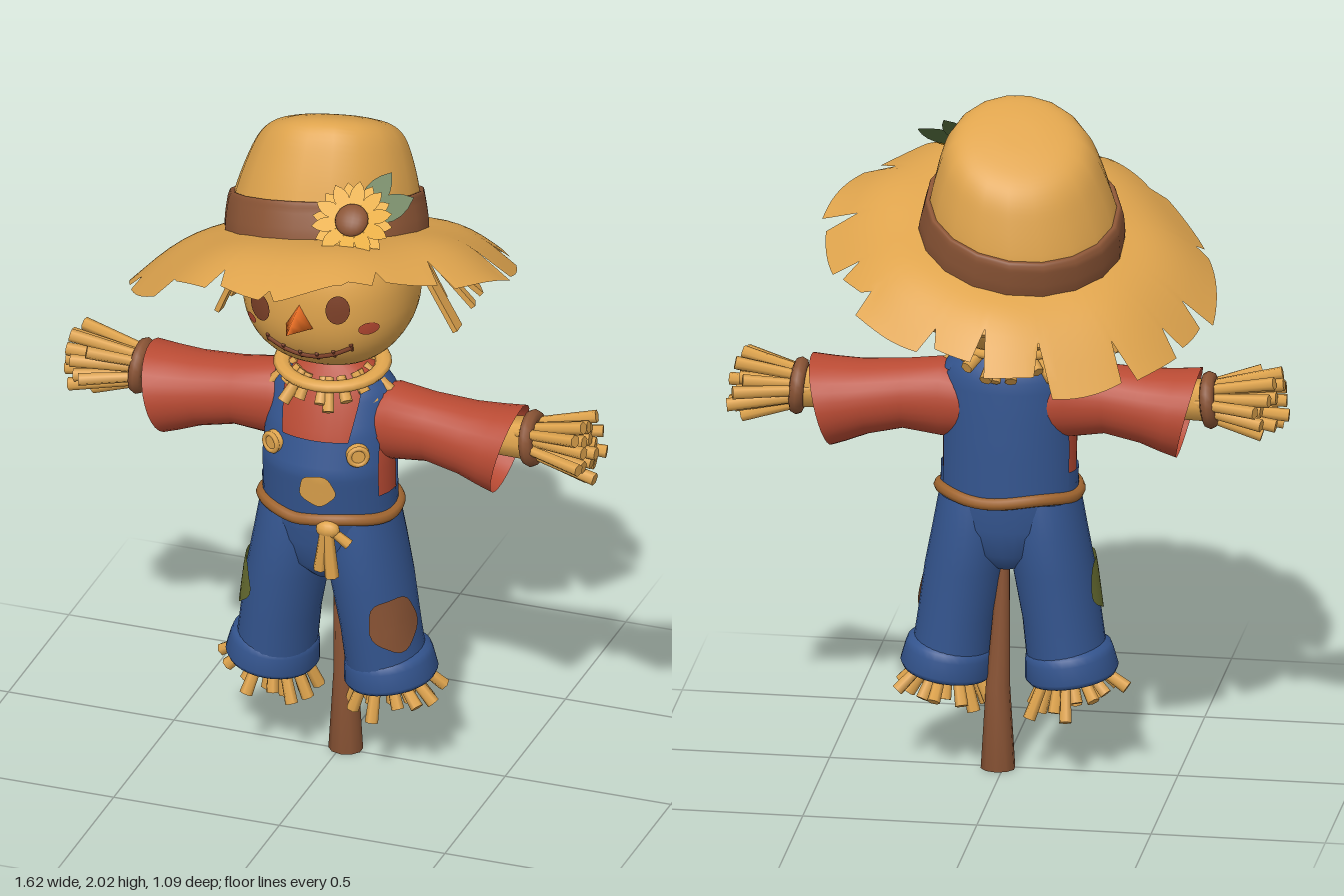
import * as THREE from 'three';
import { mergeGeometries, mergeVertices } from 'three/addons/utils/BufferGeometryUtils.js';

const V = (x, y, z) => new THREE.Vector3(x, y, z);
const { sin, cos, sqrt, abs, sign, PI } = Math;
const TAU = PI * 2, lerp = THREE.MathUtils.lerp;
let seed = 7;
const rnd = () => (seed = (seed * 16807) % 2147483647) / 2147483647;
const jit = (a) => (rnd() * 2 - 1) * a;

function createMaterials() {
  const colors = { straw: 0xdfa44d, shirtRed: 0xb84a33, denim: 0x34558f, brown: 0x8a5435, orange: 0xe36a1e,
    gold: 0xe0a312, leaf: 0x566f3f, faceBrown: 0x7c4028, rope: 0xa0652f, olive: 0x6a7032 };
  const mats = {};
  for (const [name, color] of Object.entries(colors)) {
    mats[name] = new THREE.MeshStandardMaterial({ color, side: THREE.DoubleSide });
    mats[name].name = name;
  }
  return mats;
}

// Smooth surface from a rule (u, v) -> point
function grid(fn, nu, nv) {
  const pos = [], idx = [], w = nu + 1;
  for (let j = 0; j <= nv; j++) for (let i = 0; i <= nu; i++) pos.push(...fn(i / nu, j / nv).toArray());
  for (let j = 0; j < nv; j++) for (let i = 0; i < nu; i++) {
    const a = j * w + i;
    idx.push(a, a + 1, a + w, a + 1, a + w + 1, a + w);
  }
  let g = new THREE.BufferGeometry();
  g.setAttribute('position', new THREE.Float32BufferAttribute(pos, 3));
  g.setIndex(idx);
  g = mergeVertices(g, 1e-5);
  g.computeVertexNormals();
  return g;
}

// Elliptical sections [y, cx, cz, rx, rz], lowest first; angle 0 is the front
const surface = (secs) => (y, a, off = 0) => {
  let k = 0;
  while (k < secs.length - 2 && y > secs[k + 1][0]) k++;
  const A = secs[k], B = secs[k + 1], t = (y - A[0]) / (B[0] - A[0] || 1);
  const [, cx, cz, rx, rz] = A.map((n, i) => lerp(n, B[i], t));
  return V(cx + (rx + off) * sin(a), y, cz + (rz + off) * cos(a));
};
const loft = (secs, n = 32) => grid((u, v) => {
  const [y, cx, cz, rx, rz] = secs[Math.round(v * (secs.length - 1))], a = u * TAU;
  return V(cx + rx * sin(a), y, cz + rz * cos(a));
}, n, secs.length - 1);

// Panel and round patch lying on a surface
const panel = (s, a0, a1, y0, y1, off = 0.007, shift = 0) => grid((u, v) =>
  s(lerp(y0, y1, v), lerp(a0, a1, u) + shift * v, off), 24, 12);
const patch = (s, a, y, ra, ry, off) => grid((u, v) => {
  const t = u * TAU, r = (1 - v) * (1 + 0.05 * cos(5 * t + 1));
  return s(y + ry * r * sin(t), a + ra * r * cos(t), off);
}, 28, 4);

// One tapering straw between two points
function strand(a, b, r = 0.013) {
  const d = b.clone().sub(a), g = new THREE.CylinderGeometry(r * 1.15, r * 0.85, d.length(), 6);
  g.applyQuaternion(new THREE.Quaternion().setFromUnitVectors(V(0, 1, 0), d.normalize()));
  const m = a.clone().add(b).multiplyScalar(0.5);
  return g.translate(m.x, m.y, m.z);
}

export function createModel() {
  seed = 7;
  const M = createMaterials(), model = new THREE.Group();
  const add = (name, geo, mat, parent = model) => {
    const m = new THREE.Mesh(Array.isArray(geo) ? mergeGeometries(geo) : geo, mat);
    m.name = name;
    parent.add(m);
    return m;
  };
  const group = (name, x, y, z) => {
    const g = new THREE.Group();
    g.name = name;
    g.position.set(x, y, z);
    model.add(g);
    return g;
  };

  // Post
  add('post', loft([[0, 0.015, -0.01, 0, 0], [0, 0.015, -0.01, 0.05, 0.044], [0.25, 0.015, -0.01, 0.035, 0.033],
    [0.6, 0, 0, 0.018, 0.02], [0.75, 0, 0, 0.016, 0.016]], 10), M.brown);

  // Torso and overalls
  const torsoSecs = [[0.8, -0.01, 0.045, 0.188, 0.145], [0.83, -0.01, 0.045, 0.19, 0.148], [0.98, -0.01, 0.055, 0.192, 0.158],
    [1.1, -0.01, 0.04, 0.188, 0.14], [1.2, -0.01, 0.02, 0.178, 0.115], [1.25, -0.01, 0.02, 0.145, 0.09],
    [1.29, -0.01, 0.02, 0.07, 0.06]];
  const torso = surface(torsoSecs);
  add('shirt', loft(torsoSecs), M.shirtRed);
  add('overalls', [
    panel(torso, 0, TAU, 0.79, 0.9), panel(torso, -1.08, 1.08, 0.85, 1.08), panel(torso, 2, TAU - 2, 0.85, 1.255),
    panel(torso, 0.5, 0.98, 1.06, 1.25, 0.008, 0.22), panel(torso, -0.98, -0.5, 1.06, 1.25, 0.008, -0.22),
    panel(torso, 0.75, 2.1, 1.2, 1.255), panel(torso, -2.1, -0.75, 1.2, 1.255),
    loft([[0.605, -0.01, 0.04, 0, 0], [0.61, -0.01, 0.04, 0.05, 0.085], [0.66, -0.01, 0.04, 0.15, 0.128], [0.74, -0.01, 0.04, 0.203, 0.147],
      [0.83, -0.01, 0.045, 0.198, 0.155], [0.86, -0.01, 0.047, 0.198, 0.157]]),
  ], M.denim);
  add('bellyPatch', patch(torso, 0.1, 0.935, 0.26, 0.05, 0.014), M.straw);
  for (const s of [-1, 1]) {
    const p = torso(1.045, s * 0.68, 0.014), b = group('overallButton', p.x, p.y, p.z);
    b.rotation.y = s * 0.5;
    add('buttonDisc', new THREE.CylinderGeometry(0.03, 0.034, 0.02, 16).rotateX(PI / 2), M.straw, b);
    add('buttonRim', new THREE.TorusGeometry(0.026, 0.008, 6, 16).translate(0, 0, 0.008), M.straw, b);
  }

  // Rope belt with a knot and loose ends
  const ring = Array.from({ length: 24 }, (_, i) => torso(0.832 + 0.006 * sin(i), i / 24 * TAU, 0.009));
  add('belt', new THREE.TubeGeometry(new THREE.CatmullRomCurve3(ring, true), 64, 0.018, 8, true), M.rope);
  add('beltKnot', [new THREE.SphereGeometry(0.03, 12, 8).scale(1.2, 0.9, 0.8).translate(0.042, 0.815, 0.213),
    strand(V(0.035, 0.815, 0.22), V(0.018, 0.685, 0.215), 0.017), strand(V(0.045, 0.815, 0.22), V(0.058, 0.67, 0.222), 0.018),
    strand(V(0.045, 0.82, 0.215), V(0.105, 0.775, 0.21), 0.014)], M.straw);

  for (const s of [-1, 1]) {
    // Trouser leg, turn-up, patch and straw foot
    const X = (x) => -0.0125 + s * (x + 0.0125);
    const legSecs = [[0.3, X(0.157), 0.03, 0.116, 0.13], [0.45, X(0.138), 0.037, 0.113, 0.135],
      [0.6, X(0.114), 0.04, 0.117, 0.143], [0.72, X(0.095), 0.04, 0.113, 0.145], [0.82, X(0.09), 0.042, 0.1, 0.13]];
    add('trouserLeg', loft(legSecs), M.denim);
    const leg = surface(legSecs), cx = X(0.162);
    add('turnUp', loft([[-0.02, 0, 0, 0, 0], [-0.035, 0, 0, 0.115, 0.122], [-0.045, 0, 0, 0.125, 0.135],
      [-0.03, 0, 0, 0.134, 0.145], [0.02, 0, 0, 0.127, 0.14], [0.04, 0, 0, 0.122, 0.134],
      [0.05, 0, 0, 0.105, 0.12]]).rotateZ(s * 0.14).translate(cx, 0.322, 0.028), M.denim);
    if (s > 0) add('kneePatch', patch(leg, 0.83, 0.5, 0.65, 0.085, 0.007), M.brown);
    else add('sidePatch', patch(leg, -1.3, 0.555, 0.75, 0.08, 0.007), M.olive);
    const foot = [];
    for (let i = 0; i < 18; i++) {
      const a = i * 2.4, r = sqrt((i + 0.5) / 18), out = s * sin(a) * r;
      foot.push(strand(V(cx + 0.07 * r * sin(a), 0.32, 0.03 + 0.075 * r * cos(a)),
        V(cx + s * 0.015 + 0.165 * r * sin(a), 0.205 + 0.045 * out + jit(0.022), 0.02 + 0.14 * r * cos(a)), 0.0165));
    }
    add('strawFoot', foot, M.straw);

    // Flared sleeve with a slanted opening
    const Y = (y) => -s * (y + (s < 0 ? 0.015 : 0));
    const sleeve = loft([[0.08, Y(1.09), 0.02, 0.1, 0.09], [0.18, Y(1.1), 0.025, 0.115, 0.1], [0.29, Y(1.1), 0.03, 0.1, 0.1],
      [0.4, Y(1.085), 0.03, 0.107, 0.112], [0.47, Y(1.075), 0.03, 0.12, 0.125], [0.525, Y(1.07), 0.03, 0.13, 0.135]], 28).rotateZ(-s * PI / 2);
    const p = sleeve.attributes.position;
    for (let i = 0; i < p.count; i++) {
      const t = Math.max(0, (abs(p.getX(i)) - 0.3) / 0.225);
      p.setX(i, p.getX(i) + s * t * (p.getY(i) - 1.07) * 0.25);
    }
    sleeve.computeVertexNormals();
    add('sleeve', sleeve, M.shirtRed);

    // Straw arm, wrist tie and hand
    const hy = s > 0 ? 1.11 : 1.13, hx = s * 0.59;
    add('strawArm', strand(V(s * 0.3, hy - 0.01, 0.025), V(s * 0.6, hy, 0.02), 0.055), M.straw);
    add('wristTie', new THREE.TorusGeometry(0.058, 0.021, 8, 24).scale(1.05, 1.05, 1).rotateY(PI / 2).rotateZ(s * 0.08).translate(hx, hy, 0.018), M.brown);
    const hand = [];
    for (let i = 0; i < 18; i++) {
      const a = i * 2.4, r = sqrt((i + 0.5) / 18);
      hand.push(strand(V(s * 0.55, hy + 0.042 * r * sin(a), 0.02 + 0.042 * r * cos(a)),
        V(s * (0.8 - 0.05 * r + jit(0.04)), hy + 0.105 * r * sin(a), 0.028 + 0.115 * r * cos(a)), 0.0165));
    }
    add('strawHand', hand, M.straw);
  }

  // Neck ruff, dipping at the front
  const neck = group('neckRuff', -0.01, 1.258, 0.03);
  neck.rotation.x = 0.13;
  const ruff = [new THREE.TorusGeometry(0.12, 0.02, 8, 28).rotateX(PI / 2).scale(1.22, 0.75, 1.1)];
  for (let i = 0; i < 20; i++) {
    const a = i / 20 * TAU + jit(0.12), r = 0.165 + jit(0.03);
    ruff.push(strand(V(0.1 * sin(a), 0.01, 0.1 * cos(a)), V(r * sin(a), -0.055 + jit(0.025), r * cos(a)), 0.016));
  }
  add('ruffStraw', ruff, M.straw, neck);

  // Head, a slightly squared ball, and face
  const headX = -0.022, headY = 1.512, E = 2.3;
  const pw = (n) => sign(n) * abs(n) ** (2 / E);
  add('head', grid((u, v) => {
    const a = u * TAU, b = (v - 0.5) * PI, c = pw(cos(b));
    return V(headX + 0.25 * c * pw(sin(a)), headY + 0.243 * pw(sin(b)), 0.248 * c * pw(cos(a)));
  }, 48, 32), M.straw);
  const onFace = (x, y, off = 0.005) => V(x, y, 0.248 * Math.max(0,
    1 - abs((x - headX) / 0.25) ** E - abs((y - headY) / 0.243) ** E) ** (1 / E) + off);
  const faceDisc = (x, y, rx, ry) => grid((u, v) =>
    onFace(x + rx * (1 - v) * cos(u * TAU), y + ry * (1 - v) * sin(u * TAU)), 20, 3);
  add('eyes', [faceDisc(-0.16, 1.497, 0.035, 0.044), faceDisc(0.08, 1.535, 0.033, 0.044)], M.faceBrown);
  add('cheeks', [faceDisc(0.157, 1.468, 0.024, 0.02), faceDisc(-0.197, 1.44, 0.019, 0.016)], M.shirtRed);
  const smile = (t) => onFace(lerp(-0.14, 0.11, t), 1.397 + 0.008 * t - 0.04 * sin(t * PI), 0.002);
  const mouth = [new THREE.TubeGeometry(new THREE.CatmullRomCurve3([0, 0.2, 0.4, 0.6, 0.8, 1].map(smile)), 30, 0.007, 6)];
  for (let i = 0; i < 6; i++) {
    const c = smile(i / 5);
    mouth.push(strand(onFace(c.x, c.y - 0.012, 0.002), onFace(c.x, c.y + 0.012, 0.002), 0.005));
  }
  add('mouth', mouth, M.faceBrown);
  add('nose', new THREE.ConeGeometry(0.06, 0.14, 3, 4).rotateX(PI / 2).rotateZ(PI).translate(-0.032, 1.492, 0.285), M.orange);

  // Flat straw hair under the hat: long at the back, short tufts at the sides and brow
  const hair = [];
  const lock = (a, top, len, tilt, w = 0.038) => hair.push(new THREE.BoxGeometry(w, len, 0.015).translate(0, -len / 2, 0)
    .rotateX(-tilt).translate(0, top, 0.225).rotateY(a).translate(-0.03, 0, -0.02));
  for (let i = 0; i < 22; i++) {
    const a = lerp(1.65, TAU - 1.65, i / 21) + jit(0.05), back = Math.max(0, -cos(a));
    lock(a, 1.64 - 0.08 * back + 0.02 * sin(a), lerp(0.28, 0.23, back) + jit(0.05), 0.45 + 0.4 * back + jit(0.12), 0.042 + jit(0.008));
  }
  for (const s of [-1, 1]) for (const a of [0.75, 1.1, 1.4]) lock(s * a, 1.67 + s * 0.02, 0.11 + jit(0.03), 0.15 + jit(0.1));
  add('hair', hair, M.straw);

  // Hat crown and band, tipped back, with the crown top pushed forward and sloping
  const hat = group('hat', -0.062, 1.637, -0.065);
  hat.rotation.set(-0.31, 0, 0.12);
  const lathe = (pts) => {
    const g = new THREE.LatheGeometry(new THREE.SplineCurve(pts.map(([x, y]) => new THREE.Vector2(x, y))).getPoints(28), 18);
    const p = g.attributes.position;
    for (let i = 0; i < p.count; i++) {
      const [x, y, z] = [p.getX(i), p.getY(i), p.getZ(i)], h = Math.max(0, y - 0.08);
      p.setXYZ(i, x + 0.16 * h, y + 0.8 * z * h, z + 0.15 * h);
    }
    const smooth = mergeVertices(g.deleteAttribute('uv').deleteAttribute('normal'), 1e-5);
    smooth.computeVertexNormals();
    return smooth;
  };
  add('crown', lathe([[0.284, -0.02], [0.268, 0.09], [0.24, 0.19], [0.207, 0.265], [0.16, 0.303], [0.08, 0.32], [0, 0.323]]), M.straw, hat);
  add('hatBand', lathe([[0.294, -0.012], [0.292, 0.03], [0.28, 0.095], [0.265, 0.1]]), M.brown, hat);

  // Drooping brim with a torn edge, raggedest at the back
  const N = 144, edge = [];
  while (edge.length < N) {
    const w = 4 + Math.floor(rnd() * 10), r = 0.515 + rnd() * 0.05, slope = jit(0.04);
    const tear = (0.02 + rnd() * 0.08) * (edge.length > 12 && edge.length < 66 ? 0.55 : 1);
    for (let k = 0; k < w; k++) edge.push(k === 0 ? r - tear : r + slope * (k / w - 0.5));
  }
  add('brim', grid((u, v) => {
    const a = u * TAU, c = cos(a), s = sin(a), R = edge[Math.round(u * N) % N];
    const t = v * lerp(1, (R - 0.27) / 0.28, v * v);
    const xi = -0.06 + 0.27 * c, zi = -0.065 + 0.265 * s;
    const yi = 1.637 + 0.325 * (zi + 0.065) + 0.123 * (xi + 0.06);
    const yo = 1.515 + 0.175 * s + 0.1 * c - 0.01 * cos(2 * a) + 0.01 * sin(7 * a);
    return V(lerp(xi, -0.05 + 0.55 * c, t), lerp(yi, yo, t) + 0.035 * sin(Math.min(1, t) * PI), lerp(zi, 0.54 * s, t));
  }, N, 8), M.straw);

  // Sunflower with leaves
  const flower = group('sunflower', 0.11, 1.805, 0.195);
  flower.quaternion.setFromUnitVectors(V(0, 0, 1), V(0.08, 0.7, 0.71).normalize());
  const blade = (len, w) => {
    const sh = new THREE.Shape();
    sh.moveTo(0, 0);
    sh.quadraticCurveTo(w, len * 0.55, 0, len);
    sh.quadraticCurveTo(-w, len * 0.55, 0, 0);
    return new THREE.ShapeGeometry(sh, 6);
  };
  const petals = [];
  for (let i = 0; i < 20; i++)
    petals.push(blade(0.092, 0.044).rotateX(i % 2 ? 0.03 : 0.1).translate(0, 0.025, 0).rotateZ(i / 20 * TAU).translate(0, 0, i % 2 ? 0 : 0.006));
  add('petals', petals, M.gold, flower);
  add('seedHead', new THREE.SphereGeometry(0.048, 18, 12).scale(1, 1, 0.5).translate(0, 0, 0.014), M.brown, flower);
  add('leaves', [blade(0.165, 0.08).rotateX(0.05).rotateZ(-1).translate(0.02, 0.01, -0.012),
    blade(0.16, 0.07).rotateX(0.05).rotateZ(-0.45).translate(0.01, 0.02, -0.016)], M.leaf, flower);

  return model;
}
